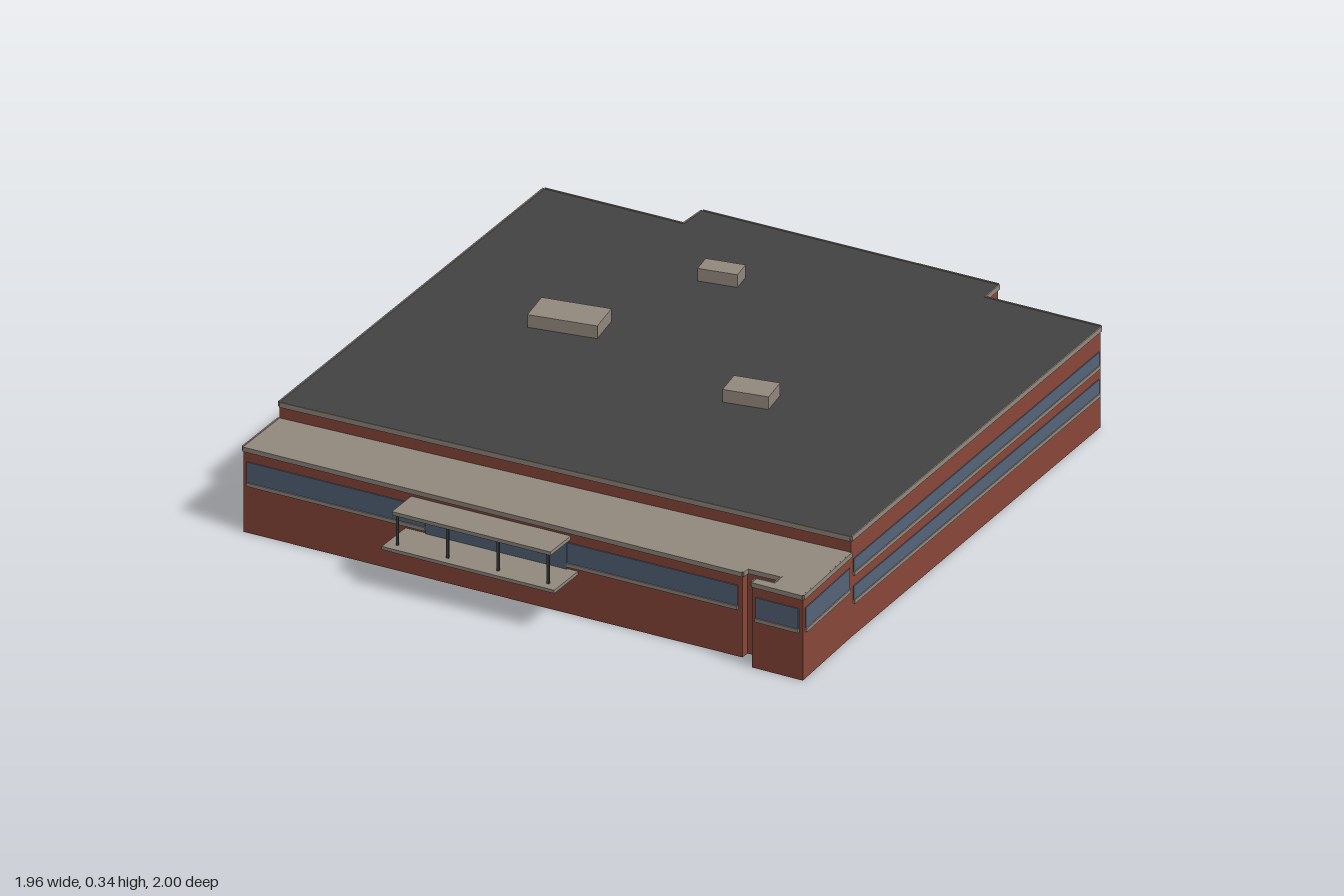
import * as THREE from 'three';

const mat = (name, color, side = THREE.FrontSide) => {
  const m = new THREE.MeshStandardMaterial({ color, side });
  m.name = name;
  return m;
};

export function createModel() {
  const brick = mat('brick', 0x8a4839, THREE.DoubleSide);
  const roofing = mat('dark roofing', 0x434343, THREE.DoubleSide);
  const stone = mat('taupe stone', 0x938a7f, THREE.DoubleSide);
  const glass = mat('blue grey glass', 0x56657a);
  const metal = mat('dark metal', 0x3a4040);
  const model = new THREE.Group();
  model.name = 'building';

  const group = (name) => {
    const g = new THREE.Group();
    g.name = name;
    model.add(g);
    return g;
  };
  const add = (parent, name, geometry, material) => {
    const m = new THREE.Mesh(geometry, material);
    m.name = name;
    parent.add(m);
    return m;
  };
  const lerp = (a, b, t) => [a[0] + (b[0] - a[0]) * t, a[1] + (b[1] - a[1]) * t];
  const dist = (a, b) => Math.hypot(b[0] - a[0], b[1] - a[1]);

  // Place something upright along plan line a-b, moved outwards by off
  const along = (mesh, a, b, y, off) => {
    const dx = b[0] - a[0], dz = b[1] - a[1], l = Math.hypot(dx, dz);
    mesh.position.set((a[0] + b[0]) / 2 - dz / l * off, y, (a[1] + b[1]) / 2 + dx / l * off);
    mesh.rotation.y = Math.atan2(-dz, dx);
  };
  const wall = (parent, a, b, y0, y1) =>
    along(add(parent, 'wall', new THREE.PlaneGeometry(dist(a, b), y1 - y0), brick), a, b, (y0 + y1) / 2, 0);
  const band = (parent, name, material, a, b, y0, y1, depth) =>
    along(add(parent, name, new THREE.BoxGeometry(dist(a, b), y1 - y0, depth), material),
      a, b, (y0 + y1) / 2, depth / 2 + 0.001);
  // Window strip with a stone sill below, kept clear of the wall ends
  const windows = (parent, a, b, top, bottom, margin = 0.012) => {
    const t = margin / dist(a, b), p = lerp(a, b, t), q = lerp(a, b, 1 - t);
    band(parent, 'windowBand', glass, p, q, bottom, top, 0.003);
    band(parent, 'windowSill', stone, p, q, bottom - 0.011, bottom, 0.006);
  };
  const plan = (pts) => new THREE.Shape(pts.map(([x, z]) => new THREE.Vector2(x, -z)));
  const flat = (parent, name, pts, y, material) =>
    add(parent, name, new THREE.ShapeGeometry(plan(pts)).rotateX(-Math.PI / 2), material).position.setY(y);
  const slab = (parent, name, pts, y0, y1, material) =>
    add(parent, name, new THREE.ExtrudeGeometry(plan(pts), { depth: y1 - y0, bevelEnabled: false })
      .rotateX(-Math.PI / 2), material).position.setY(y0);

  // Main block: plan corners from front right round the back to front left
  const main = [[0.775, 0.706], [0.971, -0.712], [0.616, -0.77], [0.627, -0.853],
    [-0.272, -0.997], [-0.292, -0.907], [-0.717, -0.976], [-0.944, 0.474]];
  const mainBlock = group('mainBlock');
  main.forEach((a, i) => {
    const b = main[(i + 1) % main.length];
    wall(mainBlock, a, b, 0, 0.3);
    band(mainBlock, 'roofTrim', stone, a, b, 0.29, 0.305, 0.004);
    if (i === 7) return;
    windows(mainBlock, a, b, 0.232, 0.193);
    windows(mainBlock, a, b, 0.15, 0.109);
    if (i > 0 && i !== 2) windows(mainBlock, a, b, 0.066, 0.026);
  });
  flat(mainBlock, 'mainRoof', main, 0.303, roofing);

  // Lower front wing with an entrance notch near the right corner
  const frontL = [-0.976, 0.669], frontR = [0.542, 0.918], corner = [0.743, 0.994];
  const low = [main[7], frontL, frontR, [0.548, 0.892], [0.653, 0.907], [0.648, 0.95],
    [0.592, 0.942], [0.588, 0.966], corner, main[0]];
  const wing = group('frontWing');
  low.slice(0, -1).forEach((a, i) => {
    const b = low[i + 1];
    wall(wing, a, b, 0, 0.254);
    band(wing, 'wingTrim', stone, a, b, 0.243, 0.257, 0.004);
    if (i === 0 || i >= 7) windows(wing, a, b, 0.214, 0.153);
  });
  band(wing, 'innerTrim', stone, main[0], main[7], 0.243, 0.255, 0.004);
  flat(wing, 'wingRoof', low, 0.256, stone);
  const at = (x) => lerp(frontL, frontR, (x - frontL[0]) / (frontR[0] - frontL[0]));
  windows(wing, at(-0.965), at(-0.42), 0.214, 0.153, 0.001);
  windows(wing, at(0.01), at(0.53), 0.214, 0.153, 0.001);
  band(wing, 'entranceGlass', glass, at(-0.42), at(0.01), 0.133, 0.214, 0.003);

  // Raised entrance deck and its canopy on slim posts
  const porch = group('entrancePorch');
  slab(porch, 'deck', [[-0.482, 0.742], [-0.505, 0.876], [0.021, 0.965], [0.044, 0.825]], 0.124, 0.134, stone);
  slab(porch, 'canopyRoof', [[-0.465, 0.755], [-0.482, 0.86], [0.002, 0.942], [0.02, 0.833]], 0.224, 0.235, stone);
  for (let i = 0; i < 4; i++) {
    const [x, z] = lerp([-0.468, 0.853], [-0.008, 0.931], i / 3);
    add(porch, 'post', new THREE.BoxGeometry(0.007, 0.092, 0.007), metal).position.set(x, 0.179, z);
  }

  // Rooftop plant boxes: x, z, width, depth
  const plant = group('rooftopUnits');
  for (const [x, z, w, d] of [[-0.373, -0.232, 0.2, 0.111], [-0.082, -0.627, 0.114, 0.064], [0.24, 0.021, 0.132, 0.09]])
    add(plant, 'rooftopUnit', new THREE.BoxGeometry(w, 0.038, d), stone).position.set(x, 0.323, z);

  return model;
}
